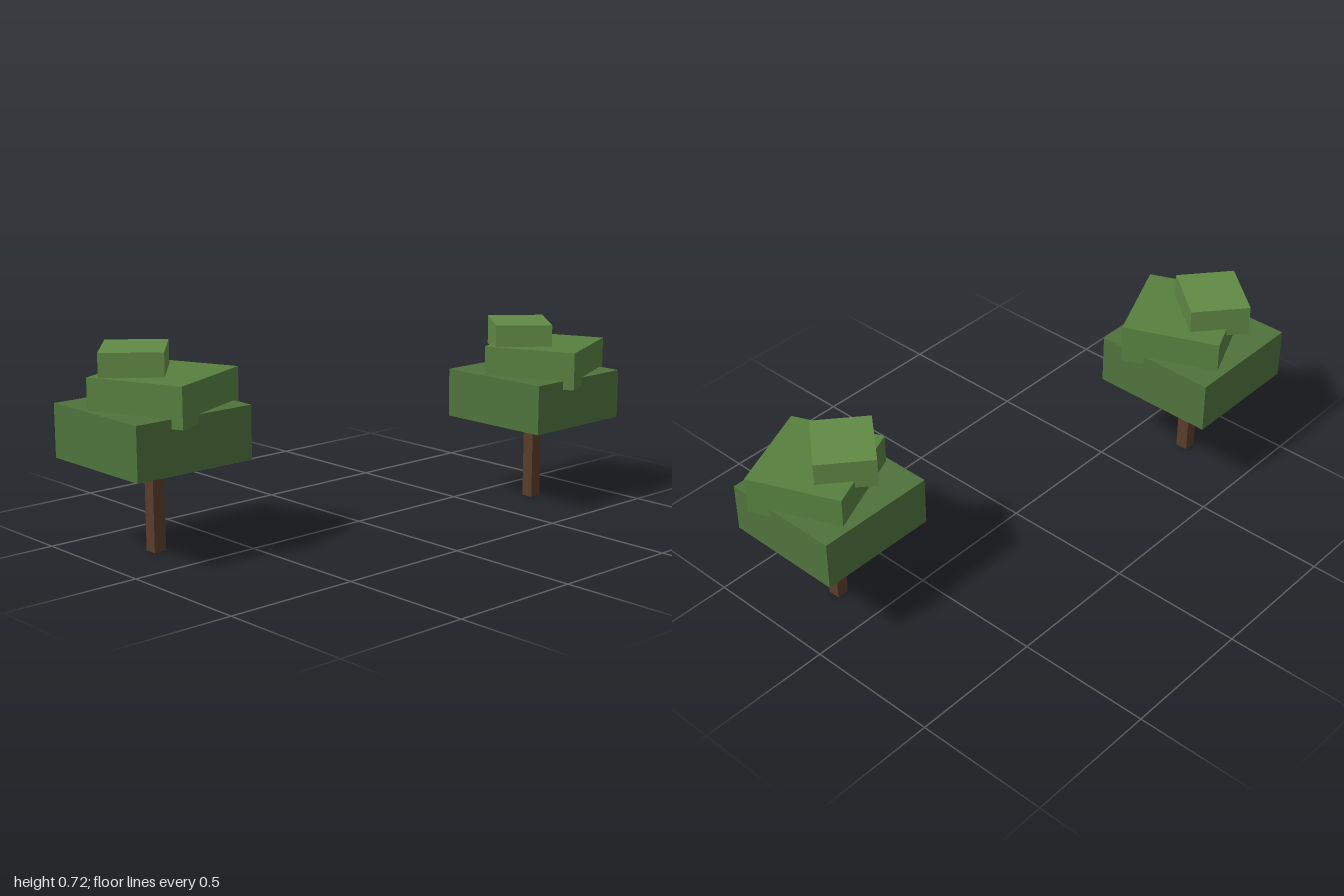
import * as THREE from 'three';

const bark = new THREE.MeshStandardMaterial({ color: 0x5a3d2b });
const lowerLeaf = new THREE.MeshStandardMaterial({ color: 0x4f733c });
const middleLeaf = new THREE.MeshStandardMaterial({ color: 0x57803f });
const upperLeaf = new THREE.MeshStandardMaterial({ color: 0x628a46 });

// Box spanning bottom..top, offset from the trunk axis and turned about y
function block(name, material, [w, d], [bottom, top], [x, z] = [0, 0], turn = 0) {
  const mesh = new THREE.Mesh(new THREE.BoxGeometry(w, top - bottom, d), material);
  mesh.name = name;
  mesh.position.set(x, (bottom + top) / 2, z);
  mesh.rotation.y = turn;
  return mesh;
}

// Trunk with three stacked, twisted blocks of foliage
function createTree(name, x, z, scale) {
  const tree = new THREE.Group();
  tree.name = name;
  tree.add(
    block('trunk', bark, [0.048, 0.048], [0, 0.34]),
    block('lowerFoliage', lowerLeaf, [0.477, 0.477], [0.328, 0.52]),
    block('middleFoliage', middleLeaf, [0.366, 0.384], [0.487, 0.633], [0.035, -0.024], THREE.MathUtils.degToRad(23)),
    block('upperFoliage', upperLeaf, [0.221, 0.256], [0.605, 0.718], [-0.048, 0.036], THREE.MathUtils.degToRad(50))
  );
  tree.position.set(x, 0, z);
  tree.scale.setScalar(scale);
  return tree;
}

export function createModel() {
  const model = new THREE.Group();
  model.name = 'trees';
  model.add(
    createTree('frontTree', -0.2115, 0.7615, 1),
    createTree('backTree', 0.1825, -0.74, 0.953)
  );
  return model;
}
